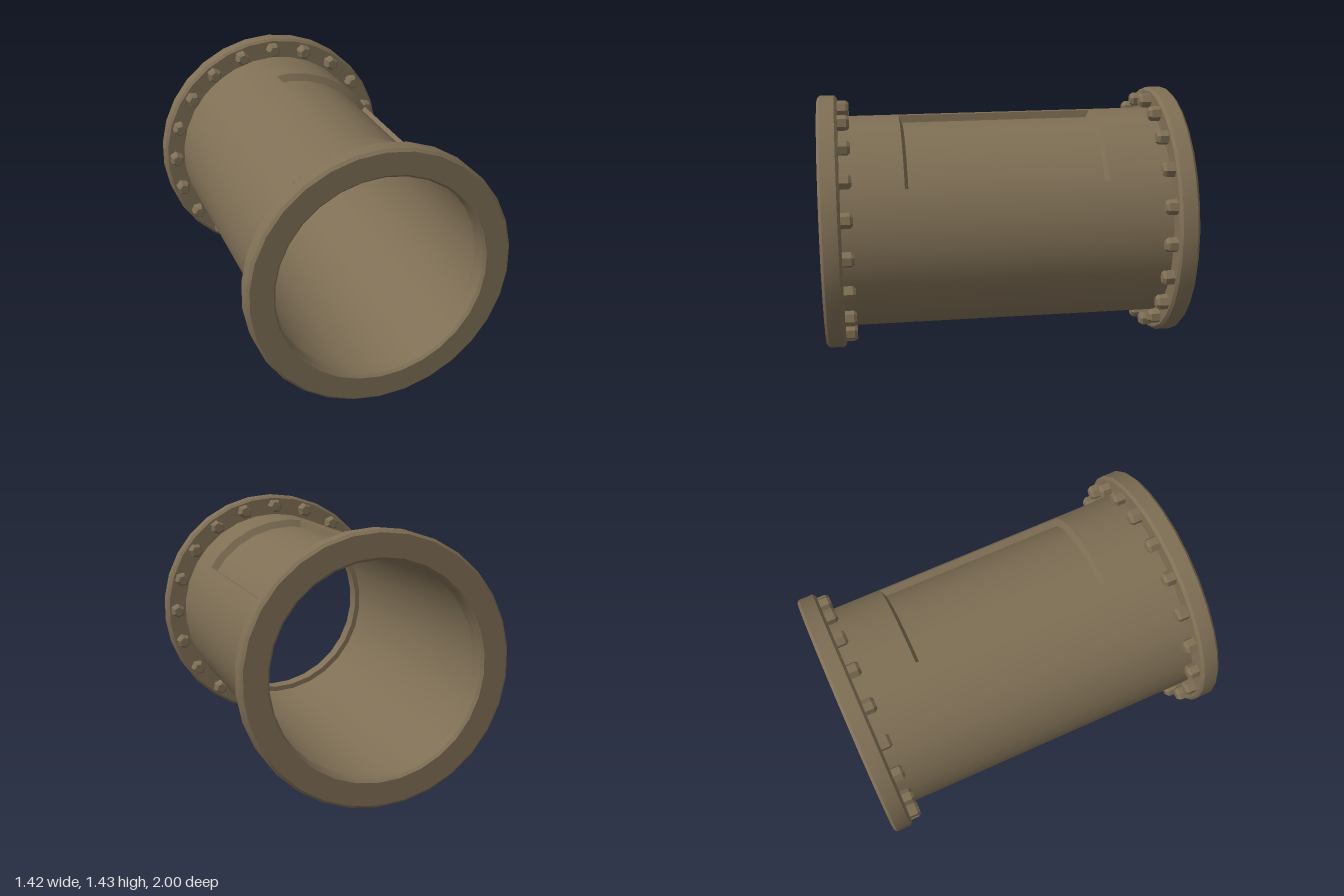
import * as THREE from 'three';
import { toCreasedNormals } from 'three/addons/utils/BufferGeometryUtils.js';

const CY = 0.715;          // height of the pipe axis
const R = 0.596;           // shell radius
const FLOOR_R = 0.555;     // radius of the recessed panel
const STEP = 12;           // 30-sided rings
const CUT_A = 33, CUT_B = 97;   // panel edges, degrees
const CUT_Z = 0.55, FLOOR_Z = 0.53, END_Z = 0.895;

// Angles from a to b, with a stop at every corner of the 30-sided ring
function arc(a, b) {
  const list = [a];
  for (let t = Math.ceil((a + 0.01 - 6) / STEP) * STEP + 6; t < b - 0.01; t += STEP) list.push(t);
  list.push(b);
  return list;
}

// Point on the 30-sided ring (corners at 90 degrees plus multiples of 12)
function ringPoint(r, deg, z) {
  const off = ((deg - 6) % STEP + STEP) % STEP - STEP / 2;
  const rr = r * Math.cos(Math.PI / 30) / Math.cos(THREE.MathUtils.degToRad(off));
  const a = THREE.MathUtils.degToRad(deg);
  return [rr * Math.cos(a), rr * Math.sin(a), z];
}

// Strip of quads joining ring (r0, z0) to ring (r1, z1) over the given angles
function strip(r0, z0, r1, z1, angles, radial) {
  const pos = [], idx = [], nor = [];
  angles.forEach((d, i) => {
    const a = THREE.MathUtils.degToRad(d);
    pos.push(...ringPoint(r0, d, z0), ...ringPoint(r1, d, z1));
    for (let k = 0; k < 2; k++) nor.push(Math.cos(a), Math.sin(a), 0);
    if (i) {
      const p = 2 * i - 2;
      idx.push(p, p + 1, p + 2, p + 1, p + 3, p + 2);
    }
  });
  const g = new THREE.BufferGeometry();
  g.setAttribute('position', new THREE.Float32BufferAttribute(pos, 3));
  g.setIndex(idx);
  if (radial) g.setAttribute('normal', new THREE.Float32BufferAttribute(nor, 3));
  else g.computeVertexNormals();
  return g;
}

// Straight side wall of the recess at one angle
function sideWall(deg, flip) {
  const pos = [
    ...ringPoint(R, deg, CUT_Z), ...ringPoint(R, deg, -CUT_Z),
    ...ringPoint(FLOOR_R, deg, -FLOOR_Z), ...ringPoint(FLOOR_R, deg, FLOOR_Z),
  ];
  const g = new THREE.BufferGeometry();
  g.setAttribute('position', new THREE.Float32BufferAttribute(pos, 3));
  g.setIndex(flip ? [0, 2, 1, 0, 3, 2] : [0, 1, 2, 0, 2, 3]);
  g.computeVertexNormals();
  return g;
}

// Solid of revolution about z from (radius, z) points
function turned(points, sides) {
  const g = new THREE.LatheGeometry(points.map(p => new THREE.Vector2(p[0], -p[1])), sides);
  return g.rotateX(Math.PI / 2).rotateY(Math.PI);
}

export function createModel() {
  const paint = new THREE.MeshStandardMaterial({ color: 0x7f6f55 });
  paint.name = 'brownMetal';
  const sheet = new THREE.MeshStandardMaterial({ color: 0x7f6f55, side: THREE.DoubleSide });
  sheet.name = 'brownSheetMetal';

  const model = new THREE.Group();
  model.name = 'flangedPipe';
  const body = new THREE.Group();
  body.name = 'pipeBody';
  body.position.y = CY;
  model.add(body);

  const add = (parent, name, geometry, material) => {
    const m = new THREE.Mesh(geometry, material);
    m.name = name;
    parent.add(m);
    return m;
  };

  // Shell: two full end rings and a middle with an opening
  const full = arc(6, 366), cut = arc(CUT_A, CUT_B);
  add(body, 'shellFront', strip(R, END_Z, R, CUT_Z, full, true), sheet);
  add(body, 'shellBack', strip(R, -CUT_Z, R, -END_Z, full, true), sheet);
  add(body, 'shellMiddle', strip(R, CUT_Z, R, -CUT_Z, arc(CUT_B, CUT_A + 360), true), sheet);
  for (const g of body.children) flipToOutside(g.geometry);

  // Recessed panel with its four walls
  const floor = add(body, 'panelFloor', strip(FLOOR_R, FLOOR_Z, FLOOR_R, -FLOOR_Z, cut, true), sheet);
  flipToOutside(floor.geometry);
  add(body, 'panelFrontWall', strip(FLOOR_R, FLOOR_Z, R, CUT_Z, cut, false), sheet);
  add(body, 'panelBackWall', strip(R, -CUT_Z, FLOOR_R, -FLOOR_Z, cut, false), sheet);
  add(body, 'panelLeftWall', sideWall(CUT_A, false), sheet);
  add(body, 'panelRightWall', sideWall(CUT_B, true), sheet);

  // Flange ring with bevelled edges, and a bevelled hexagonal bolt head
  const ringGeo = toCreasedNormals(turned([
    [0.565, 0.89], [0.565, 0.985], [0.578, 1], [0.7, 1],
    [0.715, 0.985], [0.715, 0.905], [0.7, 0.89], [0.565, 0.89],
  ].reverse().map(([r, z]) => [r, -z]), 30), 0.6);
  const boltGeo = turned([[0, 0.826], [0.029, 0.826], [0.042, 0.842], [0.042, 0.892]]
    .reverse().map(([r, z]) => [r, -z]), 6).toNonIndexed();
  boltGeo.computeVertexNormals();
  for (const g of [ringGeo, boltGeo]) orient(g);

  for (const [name, turn] of [['frontFlange', 0], ['backFlange', Math.PI]]) {
    const flange = new THREE.Group();
    flange.name = name;
    flange.rotation.y = turn;
    body.add(flange);
    add(flange, 'flangeRing', ringGeo, paint);
    for (let i = 0; i < 20; i++) {
      const a = i * Math.PI / 10;
      const bolt = add(flange, 'bolt', boltGeo, paint);
      bolt.position.set(0.65 * Math.cos(a), 0.65 * Math.sin(a), 0);
      bolt.rotation.z = a;
    }
  }
  return model;
}

// Make cylinder strips wind so that faces agree with their radial normals
function flipToOutside(g) {
  const p = g.attributes.position, n = g.attributes.normal, ix = g.index.array;
  const v = k => new THREE.Vector3().fromBufferAttribute(p, ix[k]);
  const face = v(1).sub(v(0)).cross(v(2).sub(v(0)));
  if (face.dot(new THREE.Vector3().fromBufferAttribute(n, ix[0])) < 0) g.setIndex([...ix].reverse());
}

// Place a turned part at the +z end and make its faces point outwards
function orient(g) {
  g.computeBoundingBox();
  if (g.boundingBox.max.z < 0) g.rotateY(Math.PI);
  const p = g.attributes.position, n = g.attributes.normal;
  let volume = 0;
  const a = new THREE.Vector3(), b = new THREE.Vector3(), c = new THREE.Vector3();
  for (let i = 0; i < p.count; i += 3) {
    a.fromBufferAttribute(p, i).z -= 0.89;
    b.fromBufferAttribute(p, i + 1).z -= 0.89;
    c.fromBufferAttribute(p, i + 2).z -= 0.89;
    volume += a.dot(b.cross(c));
  }
  if (volume > 0) return;
  for (let i = 0; i < p.count; i += 3) {
    for (const attr of [p, n, g.attributes.uv]) {
      for (let k = 0; k < attr.itemSize; k++) {
        const t = attr.getComponent(i, k);
        attr.setComponent(i, k, attr.getComponent(i + 2, k));
        attr.setComponent(i + 2, k, t);
      }
    }
  }
  for (let i = 0; i < n.count * 3; i++) n.array[i] *= -1;
}
